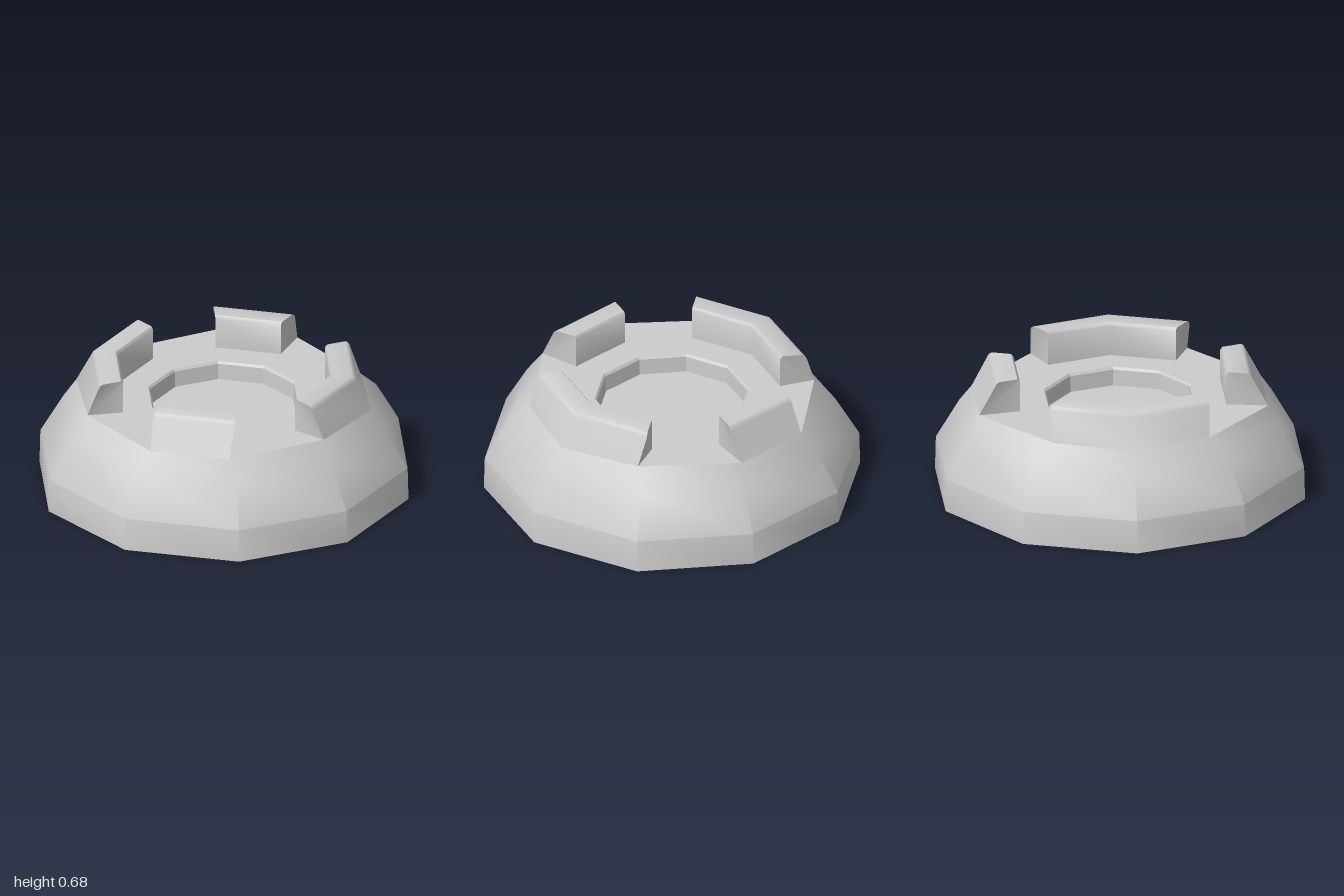
import * as THREE from 'three';
import { toCreasedNormals } from 'three/addons/utils/BufferGeometryUtils.js';

const SIDES = 10;
const LEDGE = 0.5;
const material = new THREE.MeshStandardMaterial({ color: 0xcccccc, side: THREE.DoubleSide });

// Corner k of a decagon with radius r at height y
function corner(r, y, k) {
  const a = (k * Math.PI * 2) / SIDES;
  return [r * Math.cos(a), y, r * Math.sin(a)];
}

// Corner k of the shell at ledge height, where the notches cut straight in
function rimCorner(k) {
  const [x, y, z] = corner(0.8, LEDGE, k);
  if (Math.abs(z) < 0.01) return [x, y, z];
  const [cx, cz] = Math.abs(z) < 0.6 ? [0.64, 0.415] : [0.215, 0.765];
  return [Math.sign(x) * cx, y, Math.sign(z) * cz];
}

// Profile column at corner k from a list of [radius, height]
const column = (profile, k) => profile.map(([r, y]) => corner(r, y, k));

// Quads between neighbouring columns
function strip(columns) {
  const tris = [];
  for (let i = 0; i + 1 < columns.length; i++) {
    const a = columns[i], b = columns[i + 1];
    for (let j = 0; j + 1 < a.length; j++) {
      tris.push(a[j], a[j + 1], b[j + 1], a[j], b[j + 1], b[j]);
    }
  }
  return tris;
}

// Flat cap closing the end of a strip
function cap(points, flip) {
  const tris = [];
  for (let i = 1; i + 1 < points.length; i++) {
    tris.push(points[0], points[flip ? i + 1 : i], points[flip ? i : i + 1]);
  }
  return tris;
}

function addMesh(group, name, tris, crease) {
  const geometry = new THREE.BufferGeometry();
  geometry.setAttribute('position', new THREE.Float32BufferAttribute(tris.flat(), 3));
  const mesh = new THREE.Mesh(toCreasedNormals(geometry, crease), material);
  mesh.name = name;
  group.add(mesh);
}

export function createModel() {
  const group = new THREE.Group();
  group.name = 'crenellatedBase';
  const all = Array.from({ length: SIDES + 1 }, (_, k) => k);

  // Outer shell, open underneath
  const shell = [[1, 0], [0.995, 0.18], [0.868, 0.4]];
  addMesh(group, 'outerShell', strip(all.map(k => [...column(shell, k), rimCorner(k)])), 0.75);

  // Ledge around the recess
  const ledge = [[0.575, LEDGE], [0.41, LEDGE]];
  addMesh(group, 'ledge', strip(all.map(k => column(ledge, k))), 0.4);

  // Recess wall with a bevelled lip
  const recess = [[0.41, LEDGE], [0.4, 0.487], [0.395, 0.4]];
  addMesh(group, 'recessWall', strip(all.map(k => column(recess, k))), 0.5);

  // Recess floor
  const floor = new THREE.Mesh(new THREE.CircleGeometry(0.395, SIDES).rotateX(-Math.PI / 2), material);
  floor.name = 'recessFloor';
  floor.position.y = 0.4;
  group.add(floor);

  // Flat notch floors between the raised blocks
  for (const k of [1, 3, 6, 8]) {
    const tris = strip([k, k + 1].map(i => [rimCorner(i), corner(0.575, LEDGE, i)]));
    addMesh(group, 'notchFloor', tris, 0.4);
  }

  // Raised blocks: wide ones left and right, short ones front and back
  const block = [[0.717, 0.657], [0.708, 0.674], [0.693, 0.683], [0.588, 0.683], [0.575, 0.668], [0.575, LEDGE]];
  const blocks = { leftBlock: [-1, 0, 1], frontBlock: [2, 3], rightBlock: [4, 5, 6], backBlock: [7, 8] };
  for (const [name, ks] of Object.entries(blocks)) {
    const columns = ks.map(k => [rimCorner(k), ...column(block, k)]);
    const tris = [
      ...strip(columns),
      ...cap(columns[0], true),
      ...cap(columns[columns.length - 1], false),
    ];
    addMesh(group, name, tris, 0.75);
  }
  return group;
}
